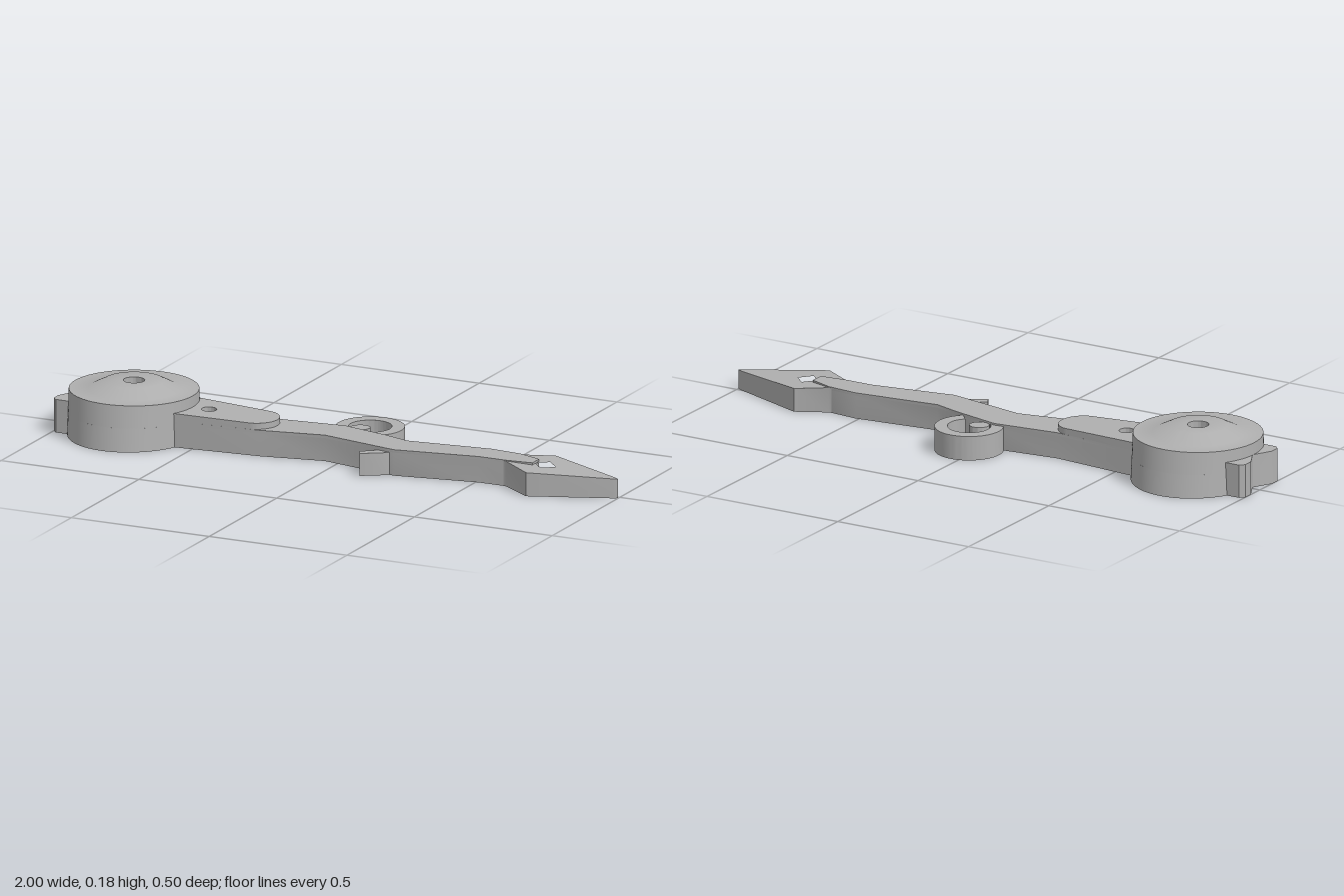
import * as THREE from 'three';
import { toCreasedNormals } from 'three/addons/utils/BufferGeometryUtils.js';

const grey = new THREE.MeshStandardMaterial({ color: 0xb0b0b0 });
grey.name = 'plain grey';

const HUB = { x: -0.755, z: 0.015, r: 0.213 };
const SLOT_CEILING = 0.078;

export function createModel() {
  const group = new THREE.Group();
  group.name = 'ornamentalPointer';

  const add = (name, geometry) => {
    const mesh = new THREE.Mesh(toCreasedNormals(geometry, 0.55), grey);
    mesh.name = name;
    group.add(mesh);
    return mesh;
  };
  // Plan outlines are [x, z] pairs; shapes are drawn with y = -z and laid flat.
  const outline = (pts) => new THREE.Shape(pts.map(([x, z]) => new THREE.Vector2(x, -z)));
  const slab = (shape, y0, y1) => {
    const g = new THREE.ExtrudeGeometry(shape, { depth: y1 - y0, bevelEnabled: false, curveSegments: 40 });
    return g.rotateX(-Math.PI / 2).translate(0, y0, 0);
  };
  const reshape = (g, rule) => {
    const p = g.attributes.position, v = new THREE.Vector3();
    for (let i = 0; i < p.count; i++) {
      rule(v.fromBufferAttribute(p, i));
      p.setXYZ(i, v.x, v.y, v.z);
    }
    g.computeVertexNormals();
    return g;
  };
  // Hub wall leans outwards towards the base, along z only
  const flare = (v) => {
    if (v.y < 0.152 && Math.hypot(v.x, v.z) > 0.2) v.z *= 1 + 0.117 * (1 - v.y / 0.152);
  };

  // Lower hub: ring opened by the keyhole slot
  const ring = new THREE.Shape();
  ring.absarc(0, 0, HUB.r, 0.32, Math.PI * 2 - 0.32, false);
  ring.absarc(0, 0, 0.105, Math.PI * 2 - 0.9, 0.9, true);
  ring.closePath();
  add('hubBase', reshape(slab(ring, 0, SLOT_CEILING), flare)).position.set(HUB.x, 0, HUB.z);

  // Upper hub: slot ceiling, rim, raised crown and blind centre hole
  const profile = [
    [0, SLOT_CEILING], [HUB.r, SLOT_CEILING], [HUB.r, 0.152], [0.15, 0.152],
    [0.097, 0.179], [0.035, 0.179], [0.035, 0.145], [0, 0.145],
  ].map(([x, y]) => new THREE.Vector2(x, y));
  add('hubCrown', reshape(new THREE.LatheGeometry(profile, 72), flare)).position.set(HUB.x, 0, HUB.z);

  // Arm: lower layer carries the slot, upper layer closes it
  const back = [
    [0.7, -0.015], [0.62, -0.045], [0.51, -0.055], [0.22, -0.02], [0.125, -0.05],
    [-0.04, -0.09], [-0.265, -0.065], [-0.6, -0.095],
  ];
  const front = [
    [-0.6, 0.115], [-0.265, 0.083], [-0.05, 0.04], [0.165, 0.083], [0.227, 0.095],
    [0.51, 0.045], [0.61, 0.045], [0.7, 0.035],
  ];
  const slotEnd = [];
  for (let i = 0; i <= 12; i++) {
    const a = -Math.PI / 2 + (Math.PI * i) / 12;
    slotEnd.push([-0.31 + 0.042 * Math.cos(a), 0.012 + 0.042 * Math.sin(a)]);
  }
  const slot = [[-0.6, -0.058], ...slotEnd, [-0.6, 0.088]];
  add('armLower', slab(outline([...back, ...slot, ...front]), 0, SLOT_CEILING));
  add('armUpper', slab(outline([...back, ...front]), SLOT_CEILING, 0.088));

  // Raised plate with rounded end and a blind pin hole
  const plate = new THREE.Shape();
  plate.moveTo(-0.6, 0.095);
  plate.lineTo(-0.6, -0.115);
  plate.lineTo(-0.3, -0.086);
  plate.bezierCurveTo(-0.265, -0.08, -0.238, -0.045, -0.238, -0.01);
  plate.bezierCurveTo(-0.238, 0.03, -0.265, 0.064, -0.3, 0.068);
  plate.closePath();
  plate.holes.push(new THREE.Path().absarc(-0.485, -0.01, 0.025, 0, Math.PI * 2, true));
  add('pivotPlate', reshape(slab(plate, 0.088, 0.113), (v) => {
    if (v.y > 0.1) v.y = 0.108 - 0.02 * (v.x + 0.238);
  }));

  // Arrowhead: top slopes down to the tip, diamond cut through
  const head = outline([
    [0.6, -0.045], [0.62, -0.047], [0.72, -0.1], [0.985, 0.002], [1, 0.011],
    [0.985, 0.02], [0.72, 0.122], [0.61, 0.047], [0.6, 0.045],
  ]);
  head.holes.push(outline([[0.698, 0.01], [0.735, -0.027], [0.772, 0.01], [0.735, 0.047]]));
  add('arrowhead', reshape(slab(head, 0, 0.08), (v) => {
    if (v.y > 0.04) v.y = 0.086 - 0.0525 * (v.x - 0.6);
  }));

  // Scroll curling off the back of the arm, ending in a bud
  const scroll = new THREE.Shape();
  scroll.absarc(0.027, 0.138, 0.113, -0.85, 4.1, false);
  scroll.absarc(0.027, 0.138, 0.071, 4.1, -0.85, true);
  scroll.closePath();
  add('scroll', slab(scroll, 0, 0.082));
  const bud = new THREE.Shape().absellipse(0.004, 0.112, 0.033, 0.03, 0, Math.PI * 2, false, 0.4);
  add('scrollBud', slab(bud, 0, 0.082));

  // Small thorn on the front edge
  add('thorn', slab(outline([
    [0.18, 0.06], [0.165, 0.083], [0.115, 0.122], [0.128, 0.147], [0.205, 0.098], [0.22, 0.07],
  ]), 0, 0.076));

  // Forked tail lug behind the hub
  add('tailLug', slab(outline([
    [-0.92, -0.105], [-0.985, -0.105], [-1, -0.09], [-1, -0.055], [-0.966, 0.01],
    [-1, 0.075], [-1, 0.11], [-0.985, 0.125], [-0.92, 0.125],
  ]), 0, 0.112));

  return group;
}
